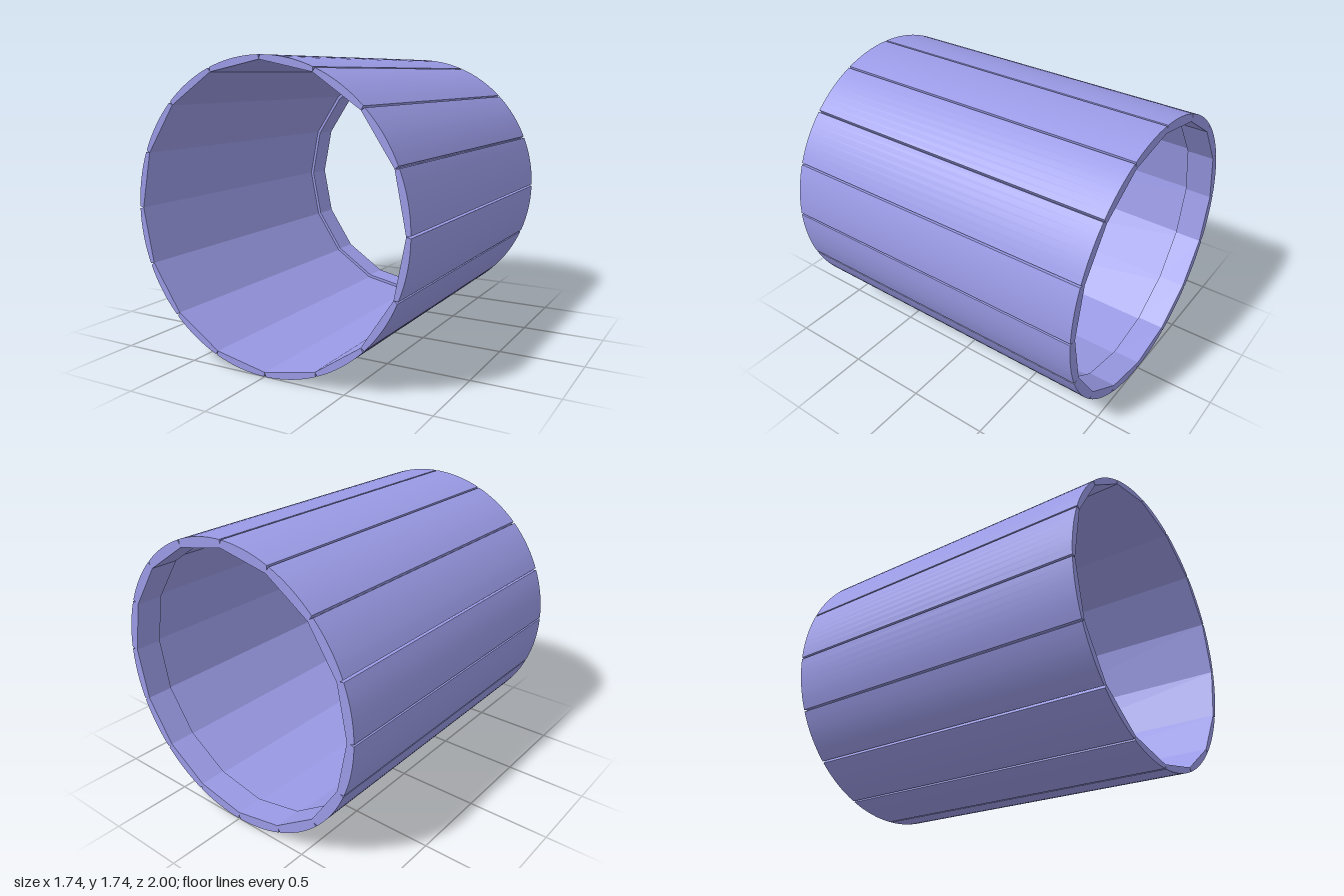
import * as THREE from 'three';
import { toCreasedNormals } from 'three/addons/utils/BufferGeometryUtils.js';

const COUNT = 16, STEP = (Math.PI * 2) / COUNT;
const OUTER = 0.87, INNER = 0.845, LIP = 0.825; // radii, inner ones at the seams
const LENGTH = 2, LIP_DEPTH = 0.17;

const polar = (r, a) => new THREE.Vector2(r * Math.cos(a), r * Math.sin(a));

function extrude(points, depth) {
  const geometry = new THREE.ExtrudeGeometry(new THREE.Shape(points), { depth, bevelEnabled: false });
  geometry.translate(0, 0, -LENGTH / 2);
  return toCreasedNormals(geometry, 0.3);
}

// Flat inside, rounded outside, with a narrow groove left at each seam
function staveGeometry() {
  const half = STEP / 2, gap = 0.007, segments = 8;
  const points = [polar(INNER, half), polar(INNER, -half)];
  for (let i = 0; i <= segments; i++) {
    points.push(polar(OUTER, (half - gap) * ((2 * i) / segments - 1)));
  }
  return extrude(points, LENGTH);
}

// Flat strip that thickens the inside of a stave at the back end
function lipGeometry() {
  const half = STEP / 2;
  return extrude([polar(LIP, -half), polar(INNER, -half), polar(INNER, half), polar(LIP, half)], LIP_DEPTH);
}

export function createModel() {
  const model = new THREE.Group();
  model.name = 'staveShell';
  const material = new THREE.MeshStandardMaterial({ color: 0x9a9ae6 });
  const parts = { stave: staveGeometry(), backLip: lipGeometry() };

  // Ring of staves, seams on the axes
  for (let i = 0; i < COUNT; i++) {
    for (const [name, geometry] of Object.entries(parts)) {
      const mesh = new THREE.Mesh(geometry, material);
      mesh.name = `${name}${i + 1}`;
      mesh.rotation.z = (i + 0.5) * STEP;
      mesh.position.y = OUTER;
      model.add(mesh);
    }
  }
  return model;
}
